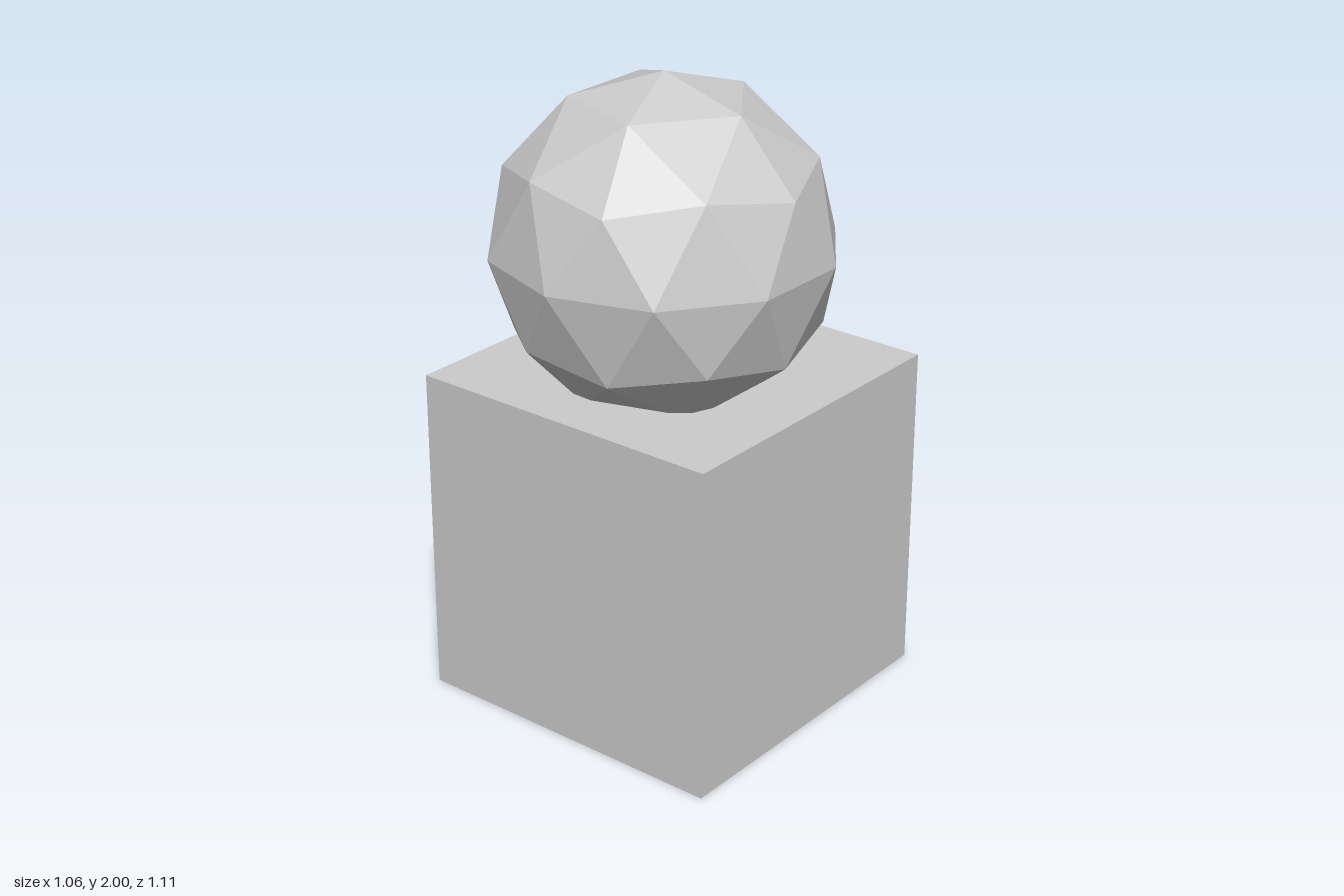
import * as THREE from 'three';

const SIDE = 1.062;
const RADIUS = SIDE / 2;

// Icosahedron standing on a vertex, each edge split once
function icoSphere(radius) {
  const h = 1 / Math.sqrt(5), r = 2 * h;
  const points = [0, 1, 0, 0, -1, 0];
  const faces = [];
  for (let k = 0; k < 5; k++) {
    const a = (k * Math.PI * 2) / 5, b = a + Math.PI / 5;
    points.push(r * Math.cos(a), h, r * Math.sin(a));
    points.push(r * Math.cos(b), -h, r * Math.sin(b));
    const n = (k + 1) % 5;
    const u = 2 + 2 * k, l = u + 1, un = 2 + 2 * n, ln = un + 1;
    faces.push(0, un, u, u, un, l, ln, l, un, 1, l, ln);
  }
  return new THREE.PolyhedronGeometry(points, faces, radius, 1);
}

export function createModel() {
  const model = new THREE.Group();
  const material = new THREE.MeshStandardMaterial({ color: 0xcccccc, flatShading: true });

  // Cube base, slightly towards the back
  const base = new THREE.Mesh(new THREE.BoxGeometry(SIDE, SIDE, SIDE), material);
  base.name = 'cubeBase';
  base.position.set(0, SIDE / 2, -0.024);
  model.add(base);

  // Faceted ball, sunk a little into the cube
  const ball = new THREE.Mesh(icoSphere(RADIUS), material);
  ball.name = 'facetedBall';
  ball.position.set(0, 2 - RADIUS, 0.024);
  model.add(ball);

  return model;
}
